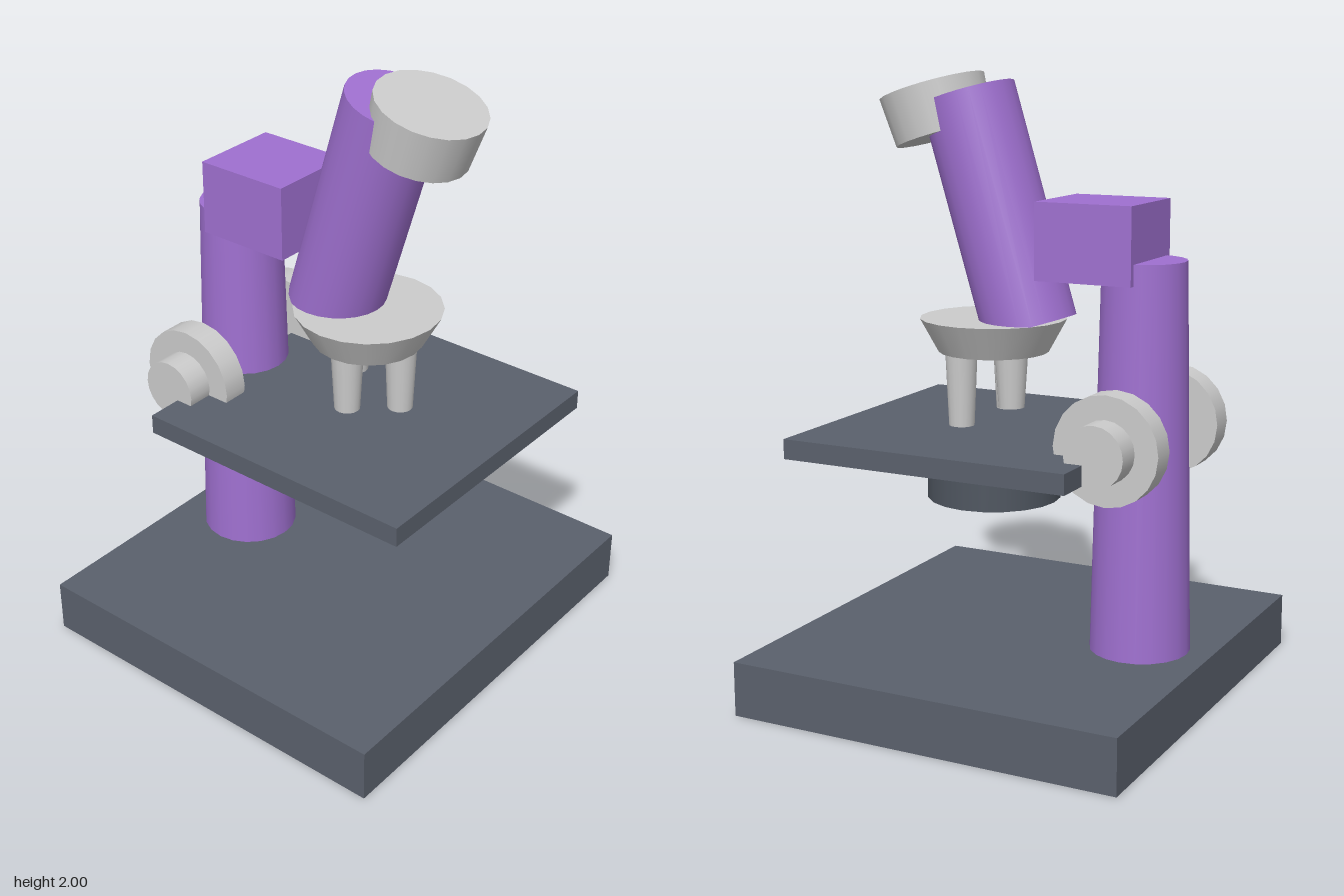
import * as THREE from 'three';

const grey = new THREE.MeshStandardMaterial({ color: 0xcccccc });
const purple = new THREE.MeshStandardMaterial({ color: 0x9f70d0 });
const slate = new THREE.MeshStandardMaterial({ color: 0x5a606c });
const darkSlate = new THREE.MeshStandardMaterial({ color: 0x4f5660 });

export function createModel() {
  const model = new THREE.Group();
  model.name = 'microscope';

  function add(name, geometry, material, x, y, z) {
    const mesh = new THREE.Mesh(geometry, material);
    mesh.name = name;
    mesh.position.set(x, y, z);
    model.add(mesh);
    return mesh;
  }
  const box = (name, material, w, h, d, x, y, z) =>
    add(name, new THREE.BoxGeometry(w, h, d), material, x, y, z);
  const cylinder = (name, material, rTop, rBottom, h, x, y, z, sides = 20) =>
    add(name, new THREE.CylinderGeometry(rTop, rBottom, h, sides), material, x, y, z);

  const pillarX = -0.42;
  const opticX = 0.108; // vertical optical axis
  const tilt = -0.295; // lean of the viewing tube

  // Base, pillar and arm
  box('base', slate, 1.318, 0.178, 1.424, 0, 0.089, 0);
  cylinder('pillar', purple, 0.134, 0.162, 1.255, pillarX, 0.805, 0);
  box('arm', purple, 0.325, 0.245, 0.304, -0.277, 1.488, 0);

  // Tilted viewing tube and eyepiece
  cylinder('viewingTube', purple, 0.154, 0.154, 0.77, 0.088, 1.563, 0, 24).rotation.z = tilt;
  cylinder('eyepiece', grey, 0.175, 0.162, 0.16, 0.307, 1.873, 0).rotation.z = tilt;

  // Nosepiece with three objectives of rising length
  cylinder('nosepiece', grey, 0.24, 0.18, 0.11, opticX, 1.16, 0);
  [[210, 0.17], [90, 0.21], [-30, 0.25]].forEach(([degrees, length], i) => {
    const a = THREE.MathUtils.degToRad(degrees);
    cylinder('objective' + (i + 1), grey, 0.053, 0.042, length,
      opticX + 0.106 * Math.cos(a), 1.106 - length / 2, 0.106 * Math.sin(a), 16);
  });

  // Stage and condenser
  box('stage', slate, 0.985, 0.065, 0.985, opticX, 0.826, 0);
  cylinder('condenser', darkSlate, 0.22, 0.22, 0.13, opticX, 0.685, 0);

  // Focus knobs on both sides of the pillar
  for (const [side, s] of [['front', 1], ['back', -1]]) {
    cylinder(side + 'CoarseKnob', grey, 0.174, 0.174, 0.087, pillarX, 0.885, s * 0.243)
      .rotation.x = s * Math.PI / 2;
    cylinder(side + 'FineKnob', grey, 0.098, 0.098, 0.087, pillarX, 0.885, s * 0.33)
      .rotation.x = s * Math.PI / 2;
  }

  return model;
}
